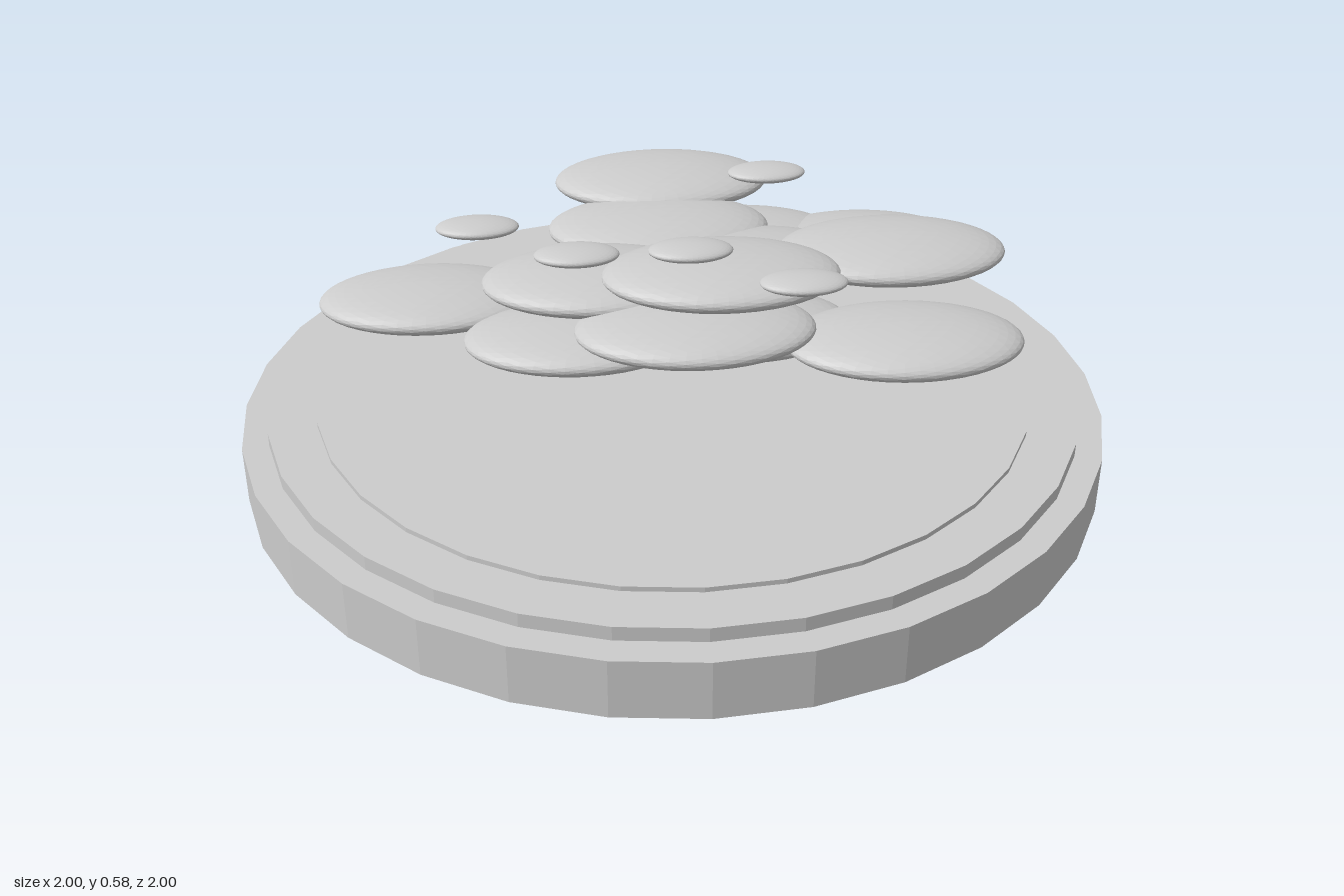
import * as THREE from 'three';

export function createModel() {
  const model = new THREE.Group();
  model.name = 'pebblesOnStand';
  const grey = new THREE.MeshStandardMaterial({ color: 0xcccccc });
  grey.name = 'light grey';
  grey.flatShading = true;

  // stepped round stand: radius, bottom, top
  const tiers = [
    ['standBase', 1, 0, 0.135],
    ['standStep', 0.94, 0.135, 0.167],
    ['standTop', 0.83, 0.167, 0.178],
  ];
  for (const [name, r, y0, y1] of tiers) {
    const mesh = new THREE.Mesh(new THREE.CylinderGeometry(r, r, y1 - y0, 32), grey);
    mesh.position.y = (y0 + y1) / 2;
    mesh.name = name;
    model.add(mesh);
  }

  // flattened ellipsoids, all sharing one unit ball
  const ball = new THREE.IcosahedronGeometry(1, 7);
  function addPebbles(name, size, centres) {
    const group = new THREE.Group();
    group.name = name + 's';
    centres.forEach((c, i) => {
      const mesh = new THREE.Mesh(ball, grey);
      mesh.scale.set(...size);
      mesh.position.set(...c);
      mesh.name = name + (i + 1);
      group.add(mesh);
    });
    model.add(group);
  }

  addPebbles('largePebble', [0.267, 0.047, 0.17], [
    // lower layer
    [-0.575, 0.285, -0.225],
    [-0.22, 0.28, -0.01],
    [0.15, 0.305, 0.0],
    [0.2, 0.32, -0.45],
    [0.508, 0.32, -0.395],
    // middle layer
    [0.5, 0.365, 0.215],
    [0.035, 0.405, 0.2],
    [0.2, 0.42, -0.1],
    [-0.17, 0.435, 0.005],
    [-0.015, 0.44, -0.265],
    // upper layer
    [0.51, 0.467, -0.035],
    [0.005, 0.472, -0.48],
    [0.1, 0.492, 0.11],
  ]);

  addPebbles('smallPebble', [0.094, 0.019, 0.056], [
    [-0.44, 0.56, -0.03],
    [-0.22, 0.56, 0.13],
    [0.03, 0.56, 0.125],
    [0.255, 0.56, 0.3],
    [0.25, 0.56, -0.3],
  ]);

  return model;
}
